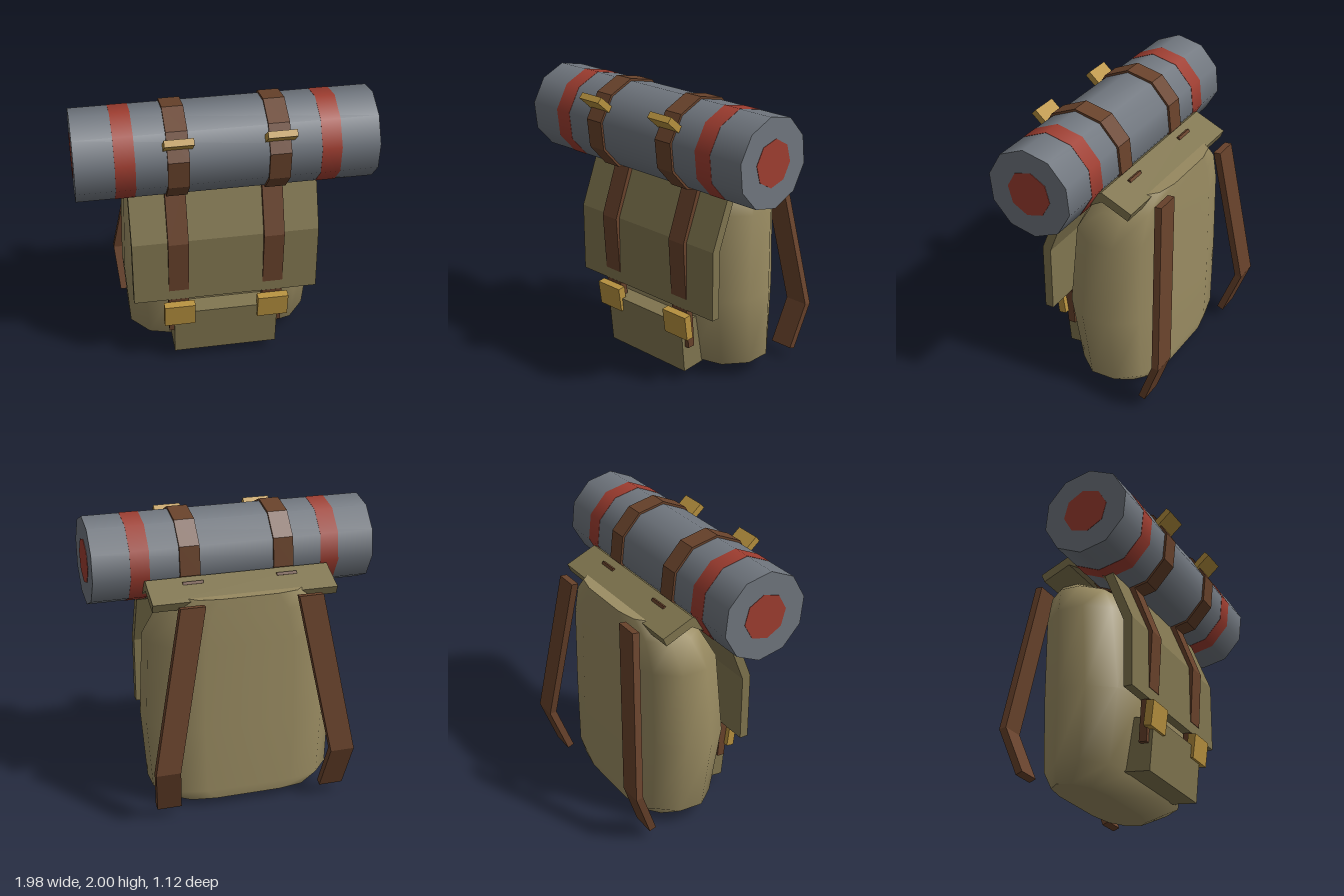
import * as THREE from 'three';

const mat = (color, flat = true) => new THREE.MeshStandardMaterial({ color, flatShading: flat });
const canvas = mat(0x9a8c62, false), canvasFlat = mat(0x9a8c62), flapCloth = mat(0x80754f);
const leather = mat(0x68422b), brass = mat(0xb8923f);
const blanket = mat(0x70767e, false), red = mat(0x9e3d30, false);

// Extrudes a closed (z, y) profile along x, centred on x = 0
function extrudeX(profile, width) {
  const shape = new THREE.Shape(profile.map(([z, y]) => new THREE.Vector2(z, y)));
  const geo = new THREE.ExtrudeGeometry(shape, { depth: width, bevelEnabled: false });
  return geo.translate(0, 0, -width / 2).rotateY(-Math.PI / 2);
}

// Thickens a (z, y) centre line into a mitred strip profile
function strip(path, thickness) {
  const pts = path.map(([z, y]) => new THREE.Vector2(z, y));
  const normal = (a, b) => { const d = b.clone().sub(a).normalize(); return new THREE.Vector2(-d.y, d.x); };
  const offsets = pts.map((p, i) => {
    const n0 = normal(pts[Math.max(i - 1, 0)], pts[Math.max(i, 1)]);
    const last = pts.length - 1;
    const n1 = normal(pts[Math.min(i, last - 1)], pts[Math.min(i + 1, last)]);
    const m = n0.clone().add(n1).normalize();
    return m.multiplyScalar(thickness / 2 / m.dot(n0));
  });
  const side = s => pts.map((p, i) => [p.x + s * offsets[i].x, p.y + s * offsets[i].y]);
  return [...side(1), ...side(-1).reverse()];
}

// Cylinder lying along x; start is the angle of the first corner
const rollGeo = (r, length, sides, start) =>
  new THREE.CylinderGeometry(r, r, length, sides, 1, false, THREE.MathUtils.degToRad(start)).rotateZ(Math.PI / 2);

// Body: one chamfered section lofted through rings of [yFront, yBack, zFront, zBack, halfWidth]
function bodyGeometry() {
  const half = [[0.47, -1], [0.81, -0.81], [1, -0.3], [1, 0.3], [0.81, 0.8], [0.47, 1]];
  const section = [...half, ...half.map(([u, v]) => [-u, v]).reverse()];
  const rings = [
    [0, 0.05, 0, -0.37, 0.5], [0.1, 0.12, 0.21, -0.38, 0.64], [0.6, 0.6, 0.29, -0.385, 0.67],
    [1.2, 1.2, 0.23, -0.385, 0.65], [1.4, 1.42, 0.12, -0.385, 0.56], [1.5, 1.535, -0.03, -0.385, 0.42],
  ];
  const n = section.length, pos = [], idx = [];
  const addRing = ([yF, yB, zF, zB, w]) => section.forEach(([u, v]) => {
    const t = (v + 1) / 2;
    pos.push(u * w, yB + (yF - yB) * t, zB + (zF - zB) * t);
  });
  rings.forEach(addRing);
  for (let j = 0; j < rings.length - 1; j++) {
    for (let i = 0; i < n; i++) {
      const a = j * n + i, b = j * n + (i + 1) % n;
      idx.push(a, a + n, b, b, a + n, b + n);
    }
  }
  // caps use their own ring so that their edges stay sharp
  [[rings[0], false], [rings[rings.length - 1], true]].forEach(([ring, top]) => {
    const s = pos.length / 3;
    addRing(ring);
    for (let i = 1; i < n - 1; i++) idx.push(s, s + (top ? i + 1 : i), s + (top ? i : i + 1));
  });
  const geo = new THREE.BufferGeometry();
  geo.setAttribute('position', new THREE.Float32BufferAttribute(pos, 3));
  geo.setIndex(idx);
  geo.computeVertexNormals();
  return geo;
}

// Shoulder strap: bent strip sheared sideways so it spreads towards the bend
function shoulderStrapGeometry(side) {
  const geo = extrudeX(strip([[-0.427, 1.52], [-0.535, 0.4], [-0.415, 0.08]], 0.05), 0.17);
  const p = geo.attributes.position;
  for (let i = 0; i < p.count; i++) {
    const y = p.getY(i);
    const x = y > 0.4 ? 0.62 - 0.215 * (y - 0.4) / 1.12 : 0.62 - 0.03 * (0.4 - y) / 0.32;
    p.setX(i, p.getX(i) + side * x);
  }
  geo.computeVertexNormals();
  return geo;
}

export function createModel() {
  const model = new THREE.Group();
  model.name = 'backpack';
  const add = (name, geo, material, x = 0, y = 0, z = 0, tilt = 0) => {
    const mesh = new THREE.Mesh(geo, material);
    mesh.name = name;
    mesh.position.set(x, y, z);
    mesh.rotation.x = tilt;
    model.add(mesh);
  };

  // Bag
  add('body', bodyGeometry(), canvas);
  add('frontPocket', extrudeX([[0.18, 0.09], [0.36, 0.07], [0.395, 0.44], [0.22, 0.455]], 0.73), flapCloth);
  add('flap', extrudeX(strip([[-0.305, 1.485], [-0.1, 1.575], [0.2, 1.4], [0.345, 1.03], [0.345, 0.55]], 0.062), 1.28), flapCloth);

  // Bedroll
  const rollY = 1.685, rollZ = 0.21;
  add('bedroll', rollGeo(0.304, 1.97, 10, 12), blanket, 0, rollY, rollZ);

  for (const side of [1, -1]) {
    const name = side > 0 ? 'left' : 'right';
    const x = side * 0.328;
    add(name + 'BedrollStripe', rollGeo(0.306, 0.13, 10, 12), red, side * 0.665, rollY, rollZ);
    add(name + 'BedrollCore', rollGeo(0.157, 0.01, 8, 7), red, side * 0.983, rollY, rollZ);

    // Straps round the bedroll and down the flap
    add(name + 'BedrollStrap', rollGeo(0.32, 0.14, 10, 12), leather, x, rollY, rollZ);
    add(name + 'BackStrap', extrudeX(strip([[0.02, 1.5], [-0.168, 1.59]], 0.02), 0.14), leather, x);
    add(name + 'FlapStrap', extrudeX(strip([[0.235, 1.44], [0.385, 1.03], [0.36, 0.63]], 0.04), 0.14), leather, x);
    add(name + 'PocketStrap', extrudeX(strip([[0.347, 0.55], [0.327, 0.26]], 0.055), 0.14), leather, x);

    // Buckles
    add(name + 'UpperBuckle', new THREE.BoxGeometry(0.19, 0.045, 0.13), brass, x, 1.872, 0.5, -0.72);
    add(name + 'LowerBuckle', new THREE.BoxGeometry(0.215, 0.175, 0.055), brass, x, 0.436, 0.39, 0.13);

    add(name + 'ShoulderStrap', shoulderStrapGeometry(side), leather);
  }
  return model;
}
